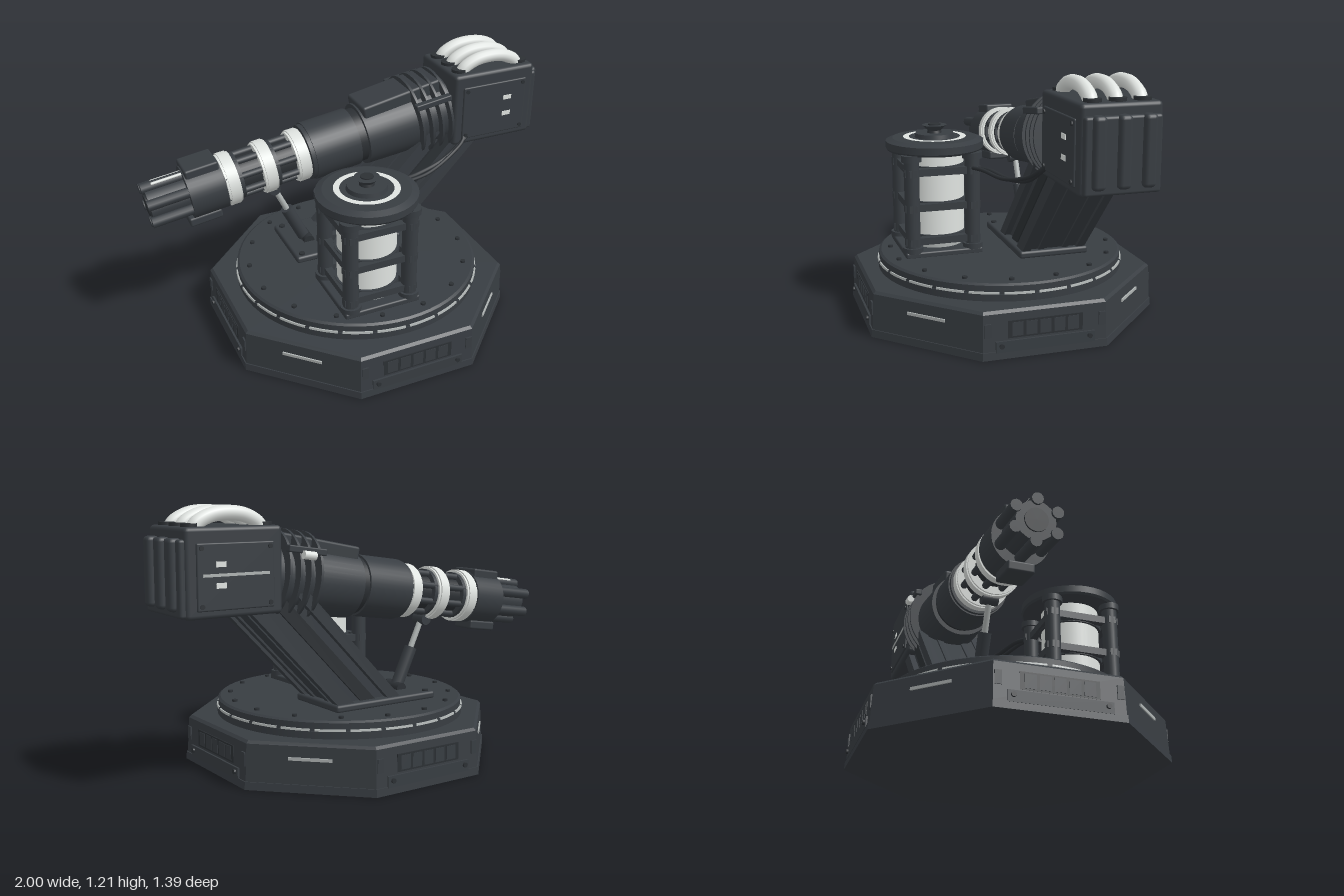
import * as THREE from 'three';
import { RoundedBoxGeometry } from 'three/addons/geometries/RoundedBoxGeometry.js';

const material = (name, color) => {
  const m = new THREE.MeshStandardMaterial({ color });
  m.name = name;
  return m;
};

export function createModel() {
  const model = new THREE.Group();
  const steel = material('dark steel', 0x383d42);
  const trim = material('darker trim', 0x2c3034);
  const white = material('white ceramic', 0xdfe3e0);
  const silver = material('light grey metal', 0xaeb3b2);

  const add = (parent, name, geo, mat, x = 0, y = 0, z = 0) => {
    const mesh = new THREE.Mesh(geo, mat);
    mesh.name = name;
    mesh.position.set(x, y, z);
    parent.add(mesh);
    return mesh;
  };
  const group = (name, x = 0, y = 0, z = 0, parent = model) => {
    const g = new THREE.Group();
    g.name = name;
    g.position.set(x, y, z);
    parent.add(g);
    return g;
  };
  const box = (p, name, m, w, h, d, x, y, z) => add(p, name, new THREE.BoxGeometry(w, h, d), m, x, y, z);
  const rbox = (p, name, m, w, h, d, r, x, y, z) => add(p, name, new RoundedBoxGeometry(w, h, d, 2, r), m, x, y, z);
  // upright cylinder between two heights
  const cyl = (p, name, m, r0, r1, y0, y1, x = 0, z = 0, n = 40) =>
    add(p, name, new THREE.CylinderGeometry(r1, r0, y1 - y0, n), m, x, (y0 + y1) / 2, z);
  // cylinder along x
  const roll = (p, name, m, r0, r1, x0, x1, y = 0, z = 0, n = 40) =>
    add(p, name, new THREE.CylinderGeometry(r1, r0, x1 - x0, n).rotateZ(-Math.PI / 2), m, (x0 + x1) / 2, y, z);
  const tube = (p, name, m, pts, r) => add(p, name, new THREE.TubeGeometry(
    new THREE.CatmullRomCurve3(pts.map(a => new THREE.Vector3(...a))), 32, r, 12), m);
  // rod between two points
  const rod = (p, name, m, a, b, r) => {
    const A = new THREE.Vector3(...a), B = new THREE.Vector3(...b);
    const mesh = add(p, name, new THREE.CylinderGeometry(r, r, A.distanceTo(B), 16), m);
    mesh.position.copy(A).lerp(B, 0.5);
    mesh.quaternion.setFromUnitVectors(new THREE.Vector3(0, 1, 0), B.sub(A).normalize());
  };

  // Octagonal base
  const base = group('base', -0.025, 0, -0.003);
  const octagon = (name, a0, a1, y0, y1) => {
    const k = 1 / Math.cos(Math.PI / 8);
    const geo = new THREE.CylinderGeometry(a1 * k, a0 * k, y1 - y0, 8).rotateY(Math.PI / 8).toNonIndexed();
    geo.computeVertexNormals();
    add(base, name, geo, steel, 0, (y0 + y1) / 2, 0);
  };
  octagon('basePlinth', 0.687, 0.685, 0, 0.035);
  octagon('baseBody', 0.68, 0.672, 0.035, 0.2);
  octagon('baseBevel', 0.672, 0.66, 0.2, 0.212);
  for (let i = 0; i < 8; i++) {
    const side = group('baseSide', 0, 0, 0, base);
    side.rotation.y = i * Math.PI / 4;
    if (i % 2) {
      box(side, 'baseLight', silver, 0.19, 0.013, 0.008, 0, 0.145, 0.677);
      continue;
    }
    box(side, 'ventPanel', trim, 0.34, 0.078, 0.008, 0, 0.127, 0.674);
    for (let k = -2; k <= 2; k++) box(side, 'ventBar', steel, 0.05, 0.062, 0.008, k * 0.063, 0.127, 0.676);
    box(side, 'kickPlate', steel, 0.45, 0.05, 0.012, 0, 0.055, 0.681);
    for (const s of [-1, 1]) {
      add(side, 'plateBolt', new THREE.CylinderGeometry(0.011, 0.011, 0.016, 12).rotateX(Math.PI / 2), trim, s * 0.2, 0.06, 0.688);
      box(side, 'sideTab', steel, 0.03, 0.06, 0.014, s * 0.26, 0.13, 0.674);
    }
  }

  // Turntable
  const table = group('turntable', -0.025, 0, -0.003);
  cyl(table, 'tableLower', steel, 0.59, 0.59, 0.21, 0.245, 0, 0, 64);
  cyl(table, 'tableUpper', steel, 0.586, 0.586, 0.245, 0.282, 0, 0, 64);
  cyl(table, 'tableBevel', steel, 0.586, 0.575, 0.282, 0.29, 0, 0, 64);
  for (let i = 0; i < 24; i++) {
    const t = i * Math.PI / 12;
    const strip = new THREE.CylinderGeometry(0.592, 0.594, 0.009, 4, 1, false, t, Math.PI / 12 * 0.87);
    add(table, 'lightStrip', strip, silver, 0, 0.25, 0);
  }
  for (let i = 0; i < 16; i++) {
    const t = (i + 0.5) * Math.PI / 8;
    cyl(table, 'tableBolt', trim, 0.012, 0.012, 0.285, 0.3, Math.sin(t) * 0.53, Math.cos(t) * 0.53, 10);
  }

  // Slanted support column
  const support = group('support', 0, 0, -0.195);
  rbox(support, 'supportFoot', steel, 0.56, 0.035, 0.34, 0.012, -0.045, 0.305, 0);
  for (const sx of [-0.29, 0.2]) for (const sz of [-0.14, 0.14]) cyl(support, 'footBolt', trim, 0.015, 0.015, 0.31, 0.33, sx, sz, 10);
  // skewed box: its floor and top stay level
  const slant = (name, m, w, d, dx, z) => {
    const geo = new THREE.BoxGeometry(w, 0.55, d);
    const p = geo.attributes.position;
    for (let i = 0; i < p.count; i++) p.setX(i, p.getX(i) + p.getY(i) * 0.97);
    geo.computeVertexNormals();
    add(support, name, geo, m, 0.285 + dx, 0.57, z);
  };
  slant('supportCore', steel, 0.32, 0.25, 0, 0);
  for (const s of [-1, 1]) {
    slant('supportRail', steel, 0.09, 0.04, 0.135, s * 0.135);
    slant('supportRail', steel, 0.07, 0.04, -0.135, s * 0.135);
    slant('supportStrip', trim, 0.08, 0.02, 0, s * 0.127);
    slant('supportRib', steel, 0.345, 0.03, 0, s * 0.06);
  }

  // Breech block with cooling pipes
  const head = group('breech', 0.73, 0.94, -0.195);
  rbox(head, 'breechBlock', steel, 0.44, 0.365, 0.345, 0.018, 0, 0, 0);
  rbox(head, 'breechBack', steel, 0.035, 0.31, 0.325, 0.012, 0.225, -0.02, 0);
  for (let k = -1; k <= 1; k++) {
    const z = k * 0.105;
    rbox(head, 'backFin', steel, 0.06, 0.29, 0.055, 0.018, 0.238, -0.005, z);
    tube(head, 'coolingPipe', white, [[-0.155, 0.17, z], [-0.135, 0.197, z], [-0.075, 0.226, z], [0, 0.235, z],
      [0.075, 0.226, z], [0.135, 0.197, z], [0.155, 0.17, z]], 0.031);
    for (const x of [-0.168, 0.168]) cyl(head, 'pipeCollar', trim, 0.036, 0.036, 0.17, 0.196, x, z, 24);
  }
  for (const s of [-1, 1]) {
    rbox(head, 'sidePlate', steel, 0.35, 0.27, 0.014, 0.006, 0, -0.015, s * 0.174);
    for (const x of [-0.155, 0.155]) for (const y of [-0.13, 0.1])
      add(head, 'plateScrew', new THREE.CylinderGeometry(0.01, 0.01, 0.01, 10).rotateX(Math.PI / 2), trim, x, y, s * 0.182);
    for (const y of [0.035, -0.05]) box(head, 'sideLight', white, 0.045, 0.022, 0.006, 0.07, y, s * 0.181);
  }
  box(head, 'longSideLight', silver, 0.3, 0.012, 0.006, 0, -0.008, -0.181);

  // Barrel assembly, tilted, running along its own x axis
  const barrel = group('barrel', -0.975, 0.69, -0.198);
  barrel.rotation.z = 0.14;
  roll(barrel, 'muzzle', steel, 0.085, 0.085, 0, 0.36, 0, 0, 16);
  roll(barrel, 'muzzleBore', trim, 0.05, 0.05, -0.008, 0, 0, 0, 24);
  for (let i = 0; i < 6; i++) {
    const t = i * Math.PI / 3 + Math.PI / 6;
    roll(barrel, 'muzzleRod', steel, 0.025, 0.025, -0.012, 0.36, Math.sin(t) * 0.09, Math.cos(t) * 0.1, 12);
  }
  rbox(barrel, 'muzzleRail', white, 0.19, 0.025, 0.04, 0.006, 0.13, 0.1, 0);
  roll(barrel, 'muzzleSleeve', steel, 0.127, 0.127, 0.18, 0.35);
  rbox(barrel, 'sleeveTop', steel, 0.16, 0.05, 0.15, 0.01, 0.265, 0.118, 0);
  rbox(barrel, 'sleeveBottom', steel, 0.16, 0.045, 0.12, 0.01, 0.235, -0.135, 0);
  roll(barrel, 'barrelCore', trim, 0.088, 0.088, 0.3, 0.85);
  for (let i = 0; i < 8; i++) {
    const t = (i + 0.5) * Math.PI / 4;
    roll(barrel, 'coreRod', steel, 0.016, 0.016, 0.34, 0.8, Math.sin(t) * 0.097, Math.cos(t) * 0.097, 10);
  }
  for (const x of [0.385, 0.565, 0.735]) {
    roll(barrel, 'whiteRing', white, 0.122, 0.122, x - 0.032, x + 0.032);
    roll(barrel, 'whiteRingCrown', white, 0.128, 0.128, x - 0.022, x + 0.022);
    roll(barrel, 'ringClamp', steel, 0.112, 0.112, x + 0.032, x + 0.052);
  }
  roll(barrel, 'barrelSleeve', steel, 0.136, 0.136, 0.77, 0.79);
  roll(barrel, 'barrelSleeve', steel, 0.142, 0.142, 0.79, 1.02);
  roll(barrel, 'sleeveJoint', trim, 0.132, 0.132, 1.02, 1.06);
  roll(barrel, 'rearSleeve', steel, 0.152, 0.165, 1.06, 1.53);
  const ridge = rbox(barrel, 'rearRidge', steel, 0.42, 0.07, 0.19, 0.012, 1.28, 0.15, 0);
  ridge.rotation.z = 0.05;
  for (let i = 0; i < 4; i++) {
    const x = 1.32 + i * 0.052;
    roll(barrel, 'coolingFin', steel, 0.203, 0.203, x, x + 0.012, 0.012);
  }
  for (const s of [-1, 1]) rbox(barrel, 'finBracket', steel, 0.19, 0.03, 0.035, 0.006, 1.4, 0.13, s * 0.17);
  roll(barrel, 'finCoupling', white, 0.018, 0.018, 1.37, 1.43, 0.11, -0.195, 16);

  // Hydraulic strut under the barrel
  const strut = group('strut');
  rod(strut, 'strutCylinder', steel, [-0.215, 0.31, -0.198], [-0.31, 0.51, -0.198], 0.03);
  rod(strut, 'strutPiston', silver, [-0.3, 0.49, -0.198], [-0.375, 0.65, -0.198], 0.014);
  rod(strut, 'strutPivot', steel, [-0.375, 0.645, -0.235], [-0.375, 0.645, -0.161], 0.028);
  rod(strut, 'strutFoot', trim, [-0.215, 0.325, -0.25], [-0.215, 0.325, -0.146], 0.028);

  // Canister in its cage
  const can = group('canister', -0.105, 0, 0.295);
  rbox(can, 'canisterBase', steel, 0.37, 0.03, 0.37, 0.008, 0, 0.3, 0);
  cyl(can, 'canisterFoot', silver, 0.132, 0.132, 0.31, 0.335);
  cyl(can, 'canisterBody', white, 0.138, 0.138, 0.335, 0.775);
  for (const y of [0.69, 0.522, 0.36]) {
    cyl(can, 'canisterBand', steel, 0.15, 0.15, y - 0.02, y + 0.02);
    for (const s of [-1, 1]) {
      box(can, 'bandTab', steel, 0.36, 0.034, 0.035, 0, y, s * 0.145);
      box(can, 'bandTab', steel, 0.035, 0.034, 0.36, s * 0.145, y, 0);
    }
  }
  for (const sx of [-0.145, 0.145]) for (const sz of [-0.145, 0.145]) {
    cyl(can, 'cagePost', steel, 0.036, 0.036, 0.31, 0.775, sx, sz, 16);
    cyl(can, 'postFoot', steel, 0.048, 0.048, 0.31, 0.335, sx, sz, 16);
    cyl(can, 'postCap', steel, 0.048, 0.048, 0.745, 0.775, sx, sz, 16);
  }
  cyl(can, 'canisterLid', steel, 0.225, 0.232, 0.772, 0.782);
  cyl(can, 'canisterLid', steel, 0.232, 0.232, 0.782, 0.815);
  cyl(can, 'lidBevel', steel, 0.232, 0.2, 0.815, 0.828);
  add(can, 'lidRing', new THREE.RingGeometry(0.122, 0.15, 48).rotateX(-Math.PI / 2), white, 0, 0.831, 0);
  cyl(can, 'lidHub', steel, 0.095, 0.09, 0.825, 0.848);
  cyl(can, 'knobStem', trim, 0.035, 0.03, 0.848, 0.865);
  cyl(can, 'knobCup', steel, 0.032, 0.058, 0.86, 0.885);
  cyl(can, 'knobHole', trim, 0.03, 0.03, 0.885, 0.89);

  // Cables from canister to breech
  const cables = group('cables');
  tube(cables, 'upperCable', trim, [[0.03, 0.69, 0.15], [0.12, 0.7, 0.1], [0.28, 0.69, 0.05], [0.45, 0.72, 0.01], [0.58, 0.8, -0.02], [0.62, 0.84, -0.06]], 0.011);
  tube(cables, 'lowerCable', trim, [[0.03, 0.7, 0.17], [0.14, 0.705, 0.13], [0.32, 0.7, 0.08], [0.48, 0.74, 0.02], [0.56, 0.79, -0.01], [0.58, 0.83, -0.05]], 0.009);
  return model;
}
